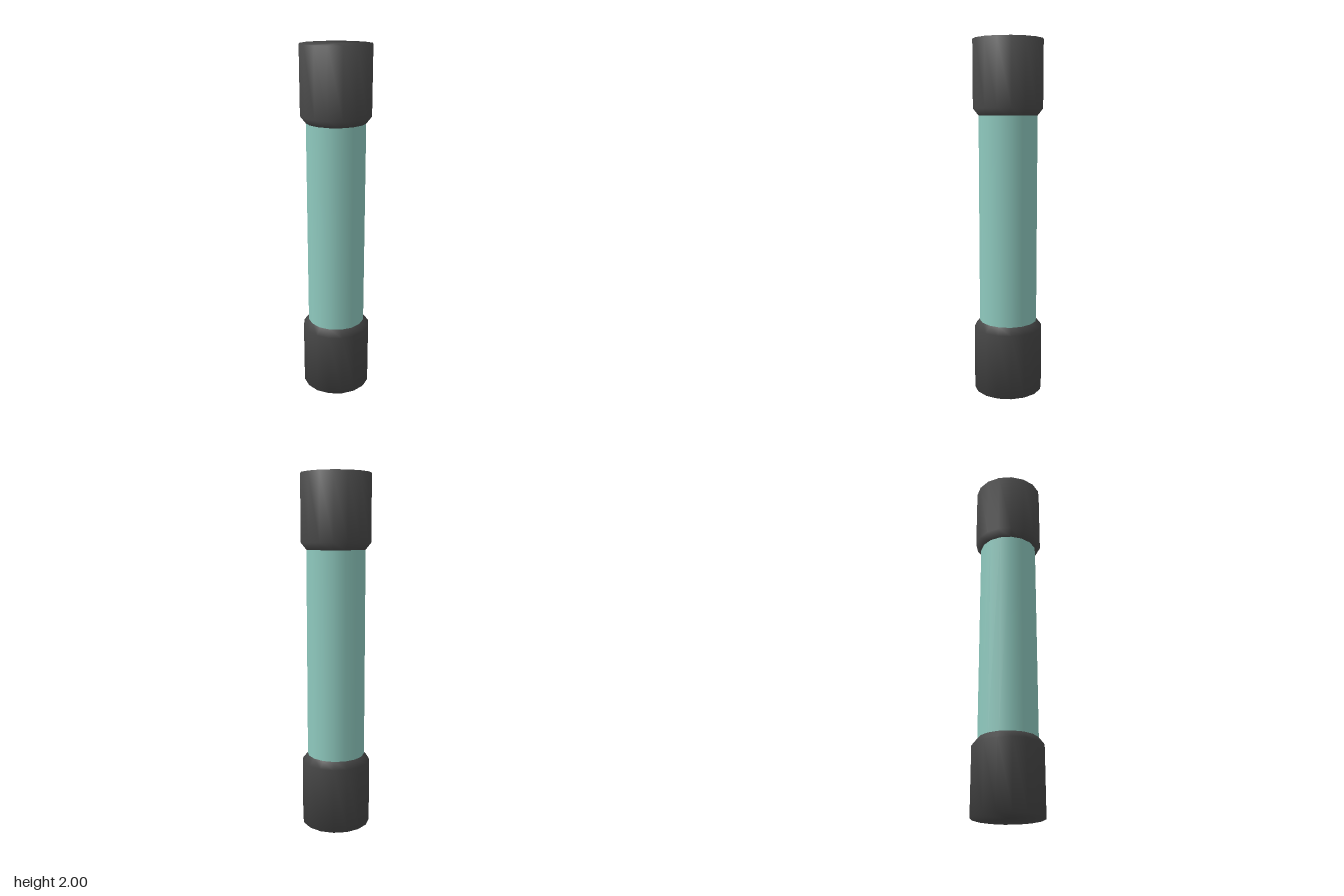
import * as THREE from 'three';

const SIDES = 16;
const TUBE_R = 0.165, CAP_R = 0.196;
const CAP_H = 0.412, CHAMFER_Y = 0.373, HEIGHT = 2;

export function createModel() {
  const group = new THREE.Group();
  group.name = 'cappedTube';

  const capMaterial = new THREE.MeshStandardMaterial({ color: 0x484848 });
  const tubeMaterial = new THREE.MeshStandardMaterial({ color: 0x8fcabf });

  // End cap: flat outer end, straight wall, chamfer down to the tube
  const profile = [[0, 0], [CAP_R, 0], [CAP_R, CHAMFER_Y], [TUBE_R, CAP_H]]
    .map(([r, y]) => new THREE.Vector2(r, y));
  const capGeometry = new THREE.LatheGeometry(profile, SIDES);

  const bottomCap = new THREE.Mesh(capGeometry, capMaterial);
  bottomCap.name = 'bottomCap';
  const topCap = new THREE.Mesh(capGeometry, capMaterial);
  topCap.name = 'topCap';
  topCap.rotation.x = Math.PI;
  topCap.position.y = HEIGHT;

  // Straight tube between the caps
  const tube = new THREE.Mesh(
    new THREE.CylinderGeometry(TUBE_R, TUBE_R, HEIGHT - 2 * CAP_H, SIDES, 1, true),
    tubeMaterial
  );
  tube.name = 'tube';
  tube.position.y = HEIGHT / 2;

  group.add(bottomCap, tube, topCap);
  return group;
}
